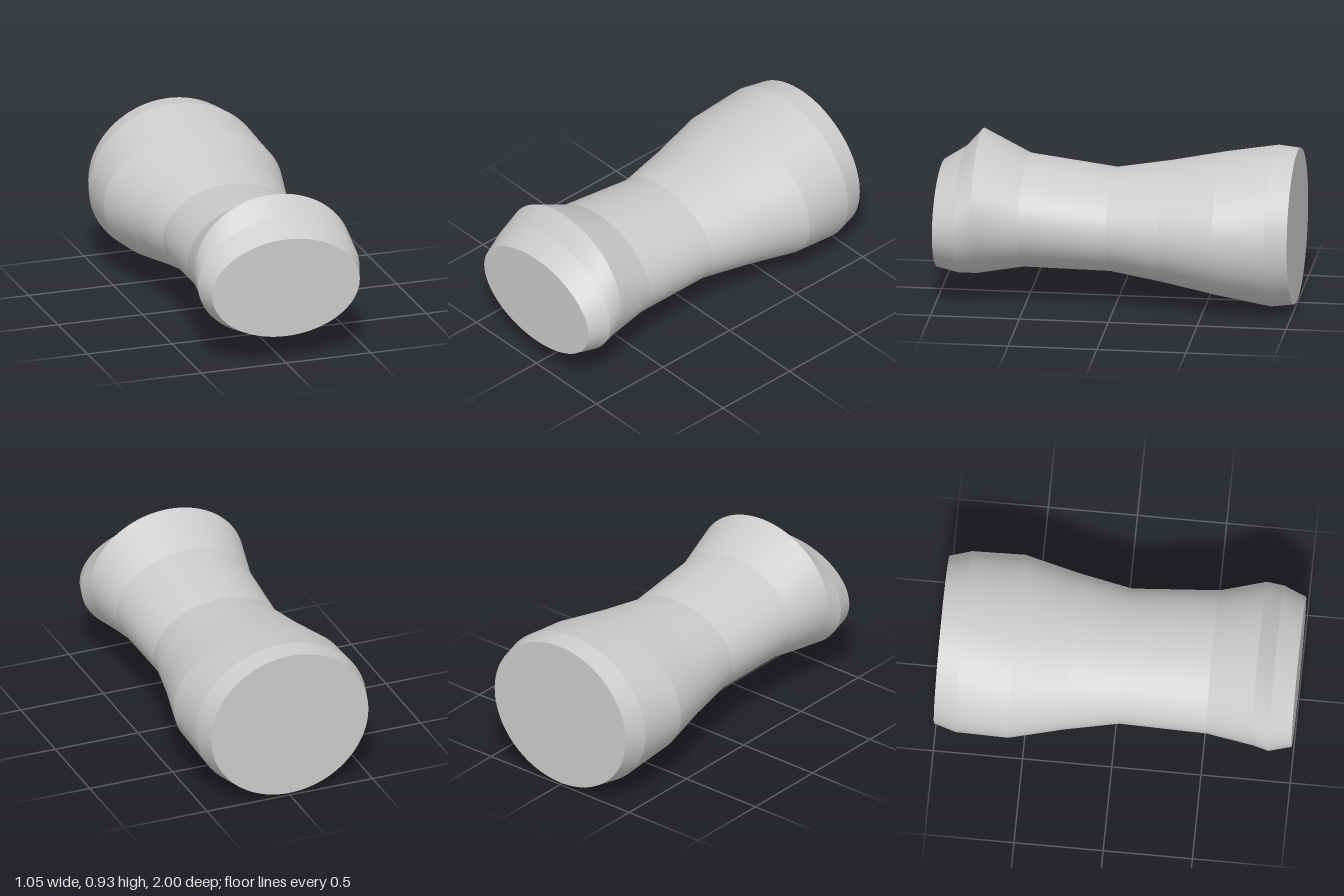
import * as THREE from 'three';

const SIDES = 96;

// Elliptical sections from back to front: z, half width, top, bottom
const SECTIONS = [
  [-1.0, 0.475, 0.88, 0.013],
  [-0.875, 0.515, 0.89, 0.0],
  [-0.58, 0.527, 0.835, 0.058],
  [-0.27, 0.45, 0.775, 0.118],
  [0.03, 0.39, 0.727, 0.168],
  [0.52, 0.412, 0.79, 0.175],
  [0.78, 0.465, 0.925, 0.127],
  [0.875, 0.477, 0.815, 0.13],
  [1.0, 0.435, 0.733, 0.16],
];

// One ring-shaped band between two sections, smooth around and sharp at its rims
function bandGeometry(back, front) {
  const positions = [];
  const index = [];
  for (const [z, halfWidth, top, bottom] of [back, front]) {
    for (let j = 0; j < SIDES; j++) {
      const t = (j / SIDES) * Math.PI * 2;
      positions.push(
        halfWidth * Math.cos(t),
        (top + bottom) / 2 + ((top - bottom) / 2) * Math.sin(t),
        z
      );
    }
  }
  for (let j = 0; j < SIDES; j++) {
    const k = (j + 1) % SIDES;
    index.push(j, k, SIDES + k, j, SIDES + k, SIDES + j);
  }
  const geometry = new THREE.BufferGeometry();
  geometry.setAttribute('position', new THREE.Float32BufferAttribute(positions, 3));
  geometry.setIndex(index);
  geometry.computeVertexNormals();
  return geometry;
}

// Flat elliptical end face
function makeCap([z, halfWidth, top, bottom], material, name, facesBack) {
  const geometry = new THREE.CircleGeometry(1, SIDES);
  geometry.scale(halfWidth, (top - bottom) / 2, 1);
  if (facesBack) geometry.rotateY(Math.PI);
  geometry.translate(0, (top + bottom) / 2, z);
  const cap = new THREE.Mesh(geometry, material);
  cap.name = name;
  return cap;
}

export function createModel() {
  const group = new THREE.Group();
  group.name = 'waistedHandle';
  const grey = new THREE.MeshStandardMaterial({ color: 0xcccccc });
  grey.name = 'light grey';

  // Body bands, back to front
  const names = ['backRim', 'backBulge', 'backTaper', 'backNeck', 'frontNeck', 'frontFlare', 'frontCollar', 'frontRim'];
  names.forEach((name, i) => {
    const band = new THREE.Mesh(bandGeometry(SECTIONS[i], SECTIONS[i + 1]), grey);
    band.name = name;
    group.add(band);
  });

  // End faces
  group.add(makeCap(SECTIONS[0], grey, 'backFace', true));
  group.add(makeCap(SECTIONS[SECTIONS.length - 1], grey, 'frontFace', false));
  return group;
}
